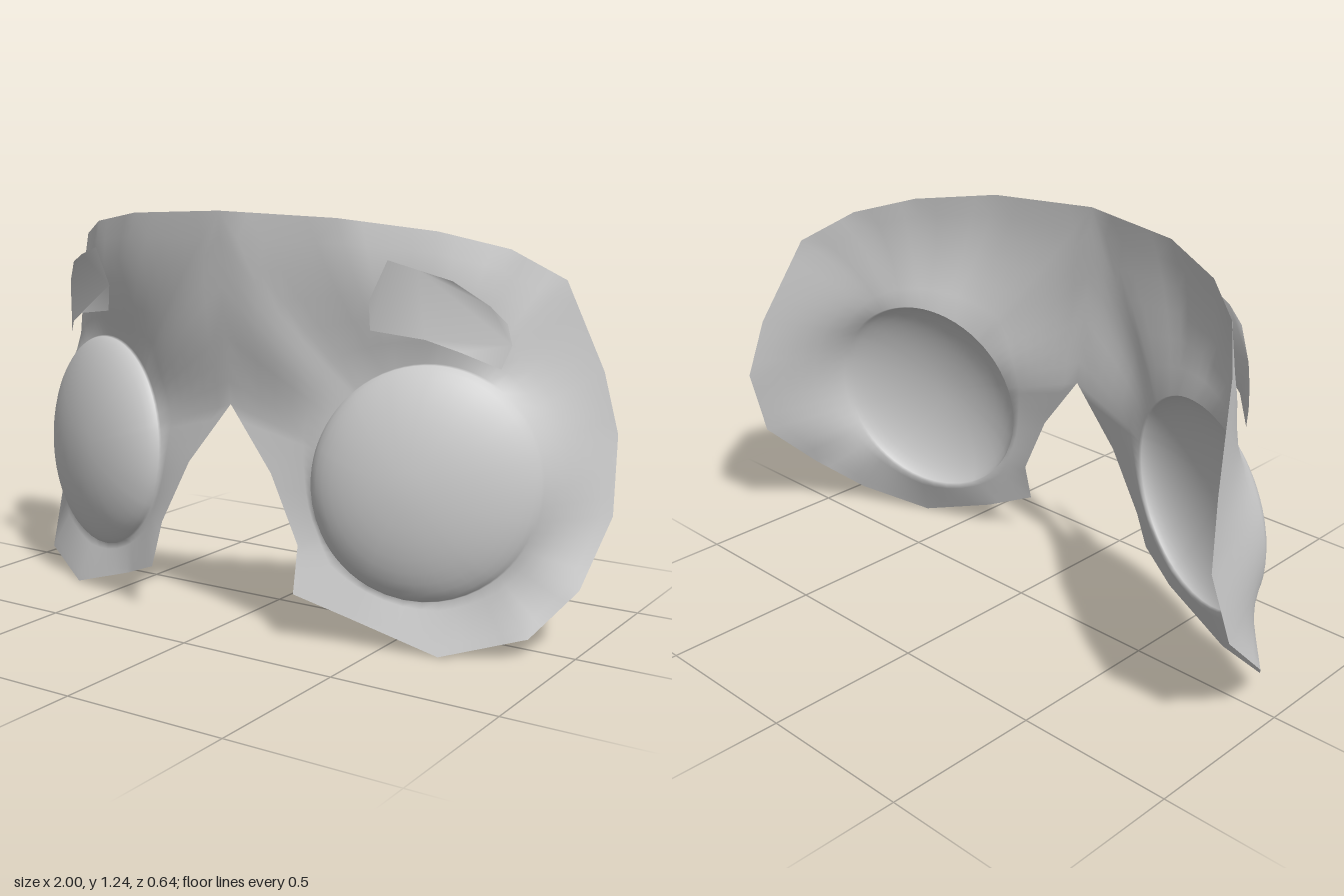
import * as THREE from 'three';
import { mergeGeometries, mergeVertices } from 'three/addons/utils/BufferGeometryUtils.js';

// Eye dome: an ellipse on a tilted plane
const CX = 0.59, CY = 0.48, RX = 0.315, RY = 0.34, DOME = 0.115;
const planeZ = (x, y) => 0.14 - 0.34 * (x - CX) - 0.09 * (y - CY);

// Edge of one half of the mask, clockwise from the top of the centre line
const EDGE = [
  [0, 1.24, 0.315], [0.36, 1.225, 0.255], [0.61, 1.19, 0.13], [0.77, 1.14, 0], [0.88, 1.05, -0.14],
  [0.95, 0.78, -0.27], [0.98, 0.59, -0.32], [1, 0.36, -0.25], [0.98, 0.18, -0.06], [0.89, 0.06, 0.08],
  [0.67, 0, 0.2], [0.41, 0.085, 0.26], [0.26, 0.145, 0.32], [0.25, 0.28, 0.28], [0.15, 0.48, 0.27],
  [0, 0.67, 0.26], [0, 0.95, 0.3],
].map((p) => new THREE.Vector3(...p));

const DOME_RINGS = 10, SKIRT_RINGS = 6, STEPS = 4;

// Half of the mask: rings grow from the dome's centre to its rim, then on to the edge
function halfMask(side) {
  const edge = EDGE.flatMap((p, i) => Array.from({ length: STEPS }, (_, k) =>
    p.clone().lerp(EDGE[(i + 1) % EDGE.length], k / STEPS)));
  const n = edge.length, pos = [], index = [];
  for (let r = 0; r <= DOME_RINGS + SKIRT_RINGS; r++) {
    for (const e of edge) {
      const dx = e.x - CX, dy = e.y - CY;
      const k = 1 / Math.hypot(dx / RX, dy / RY);
      const rim = new THREE.Vector3(CX + dx * k, CY + dy * k, 0);
      rim.z = planeZ(rim.x, rim.y);
      const p = new THREE.Vector3();
      if (r <= DOME_RINGS) {
        const t = Math.sin((r / DOME_RINGS) * Math.PI / 2);
        p.set(CX, CY, planeZ(CX, CY)).lerp(rim, t);
        p.z += DOME * Math.pow(Math.max(0, 1 - t * t), 0.65);
      } else {
        const t = (r - DOME_RINGS) / SKIRT_RINGS;
        p.lerpVectors(rim, e, t);
        // the forehead bows gently forward
        p.z += 0.12 * t * (1 - t) * THREE.MathUtils.smoothstep(e.y, 0.7, 1.1);
      }
      pos.push(side * p.x, p.y, p.z);
    }
  }
  for (let r = 0; r < DOME_RINGS + SKIRT_RINGS; r++) {
    for (let i = 0; i < n; i++) {
      const a = r * n + i, b = r * n + (i + 1) % n, c = a + n, d = b + n;
      const tris = r === 0 ? [[a, d, c]] : [[a, b, d], [a, d, c]];
      for (const [u, v, w] of tris) index.push(...(side > 0 ? [u, v, w] : [u, w, v]));
    }
  }
  const g = new THREE.BufferGeometry();
  g.setAttribute('position', new THREE.Float32BufferAttribute(pos, 3));
  g.setIndex(index);
  return g;
}

// Thin curved plate floating in front of the forehead
function browPlate(side) {
  const outline = [[0.47, 0.92], [0.62, 0.9], [0.7, 0.865], [0.785, 0.815], [0.805, 0.88],
    [0.795, 0.94], [0.76, 0.99], [0.68, 1.06], [0.6, 1.09], [0.52, 1.115], [0.465, 1.0]];
  const shape = new THREE.Shape(outline.map(([x, y]) => new THREE.Vector2(side * x, y)));
  const g = new THREE.ShapeGeometry(shape);
  const p = g.attributes.position;
  for (let i = 0; i < p.count; i++) {
    p.setZ(i, 0.255 - 1.8 * (Math.abs(p.getX(i)) - 0.47) ** 2);
  }
  g.computeVertexNormals();
  return g;
}

export function createModel() {
  const material = new THREE.MeshStandardMaterial({ color: 0xcccccc, side: THREE.DoubleSide });
  const group = new THREE.Group();
  group.name = 'eyeMask';

  // Both halves joined smoothly along the centre line
  const shell = mergeVertices(mergeGeometries([halfMask(1), halfMask(-1)]), 1e-4);
  shell.computeVertexNormals();
  const mask = new THREE.Mesh(shell, material);
  mask.name = 'maskShell';
  group.add(mask);

  for (const side of [1, -1]) {
    const plate = new THREE.Mesh(browPlate(side), material);
    plate.name = side > 0 ? 'leftBrowPlate' : 'rightBrowPlate';
    group.add(plate);
  }
  return group;
}
